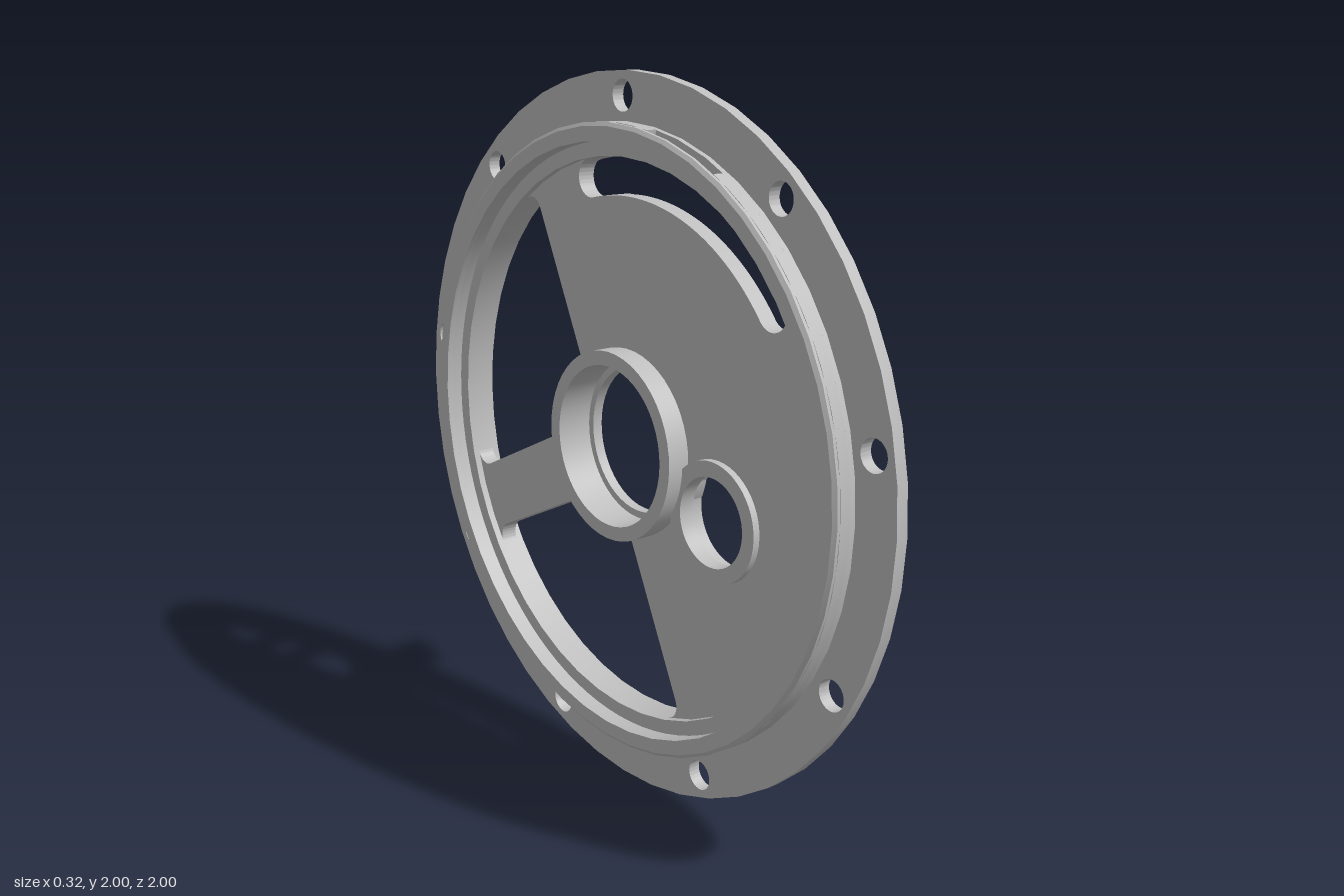
import * as THREE from 'three';
import { toCreasedNormals } from 'three/addons/utils/BufferGeometryUtils.js';

const PI = Math.PI, rad = THREE.MathUtils.degToRad;

export function createModel() {
  const metal = new THREE.MeshStandardMaterial({ color: 0xbfbfbf });
  metal.name = 'grey metal';

  // Drawn face-on in XY with depth along +Z, then turned so depth runs along +X
  const plate = new THREE.Group();
  plate.name = 'bearingPlate';

  function add(name, geometry, x = 0, y = 0) {
    const mesh = new THREE.Mesh(toCreasedNormals(geometry, 0.5), metal);
    mesh.name = name;
    mesh.position.set(x, y, 0);
    plate.add(mesh);
    return mesh;
  }
  function extrude(shape, back, front) {
    const g = new THREE.ExtrudeGeometry(shape, { depth: front - back, bevelEnabled: false, curveSegments: 24 });
    return g.translate(0, 0, back);
  }
  // Closed counterclockwise profile of [radius, depth]
  function turned(profile, segments = 48) {
    const pts = [...profile, profile[0]].map(([r, d]) => new THREE.Vector2(r, d));
    return new THREE.LatheGeometry(pts, segments).rotateX(PI / 2);
  }
  const disc = (r) => new THREE.Shape().absarc(0, 0, r, 0, 2 * PI, false);
  const hole = (x, y, r) => new THREE.Path().absarc(x, y, r, 0, 2 * PI, true);

  // Bolt flange with nine holes
  const flange = disc(1);
  flange.holes.push(hole(0, 0, 0.85));
  for (let i = 0; i < 9; i++) {
    const a = rad(88.8 + 40 * i);
    flange.holes.push(hole(0.935 * Math.cos(a), 0.935 * Math.sin(a), 0.042));
  }
  add('boltFlange', extrude(flange, -0.0885, -0.0535));

  // Rim: front spigot, slotted middle and chamfered back edge
  add('rimFront', turned([
    [0.78, -0.105], [0.87, -0.105], [0.87, -0.06], [0.815, -0.06], [0.815, -0.015], [0.78, -0.015],
  ]));
  add('rimBack', turned([
    [0.82, -0.155], [0.86, -0.155], [0.87, -0.147], [0.87, -0.138], [0.82, -0.138],
  ]));
  const slotStart = rad(99.3), slotEnd = rad(117.4);
  const wall = new THREE.Shape();
  wall.absarc(0, 0, 0.87, slotEnd, slotStart + 2 * PI, false);
  wall.absarc(0, 0, 0.82, slotStart + 2 * PI, slotEnd, true);
  add('slottedRimWall', new THREE.ExtrudeGeometry(wall, { depth: 0.033, bevelEnabled: false, curveSegments: 46 })
    .translate(0, 0, -0.138));

  // Web with two quarter windows and a curved slot
  const small = new THREE.Vector2(-0.38, -0.125);
  const web = disc(0.8);
  web.holes.push(hole(0, 0, 0.24), hole(small.x, small.y, 0.15));

  const half = 0.098, outer = 0.78, inner = 0.26, f = 0.045;
  const cx = half + f, cy = Math.sqrt((outer - f) ** 2 - cx ** 2);
  const corner = Math.atan2(cx, cy), start = Math.asin(half / inner);
  const quarter = new THREE.Path();
  quarter.absarc(0, 0, outer, corner, PI / 2 - corner, false);
  quarter.absarc(cx, cy, f, PI / 2 - corner, PI, false);
  quarter.absarc(0, 0, inner, PI / 2 - start, start, true);
  quarter.absarc(cy, cx, f, -PI / 2, corner, false);
  const origin = new THREE.Vector2();
  for (const turn of [-26, -116]) {
    const pts = quarter.getPoints(16).map((p) => p.clone().rotateAround(origin, rad(turn)));
    web.holes.push(new THREE.Path(pts));
  }

  const a0 = rad(77), a1 = rad(141), mid = 0.7275, cap = 0.0525;
  const slot = new THREE.Path();
  slot.absarc(0, 0, mid + cap, a0, a1, false);
  slot.absarc(mid * Math.cos(a1), mid * Math.sin(a1), cap, a1, a1 + PI, false);
  slot.absarc(0, 0, mid - cap, a1, a0, true);
  slot.absarc(mid * Math.cos(a0), mid * Math.sin(a0), cap, a0 + PI, a0 + 2 * PI, false);
  web.holes.push(slot);
  add('web', extrude(web, -0.085, -0.035));

  // Stepped bearing seats
  add('mainBearingSeat', turned([
    [0.225, -0.15], [0.265, -0.15], [0.265, -0.015], [0.205, -0.015], [0.205, -0.045], [0.225, -0.045],
  ]));
  add('smallBearingSeat', turned([
    [0.122, -0.105], [0.165, -0.105], [0.165, -0.015], [0.14, -0.015], [0.14, -0.06], [0.122, -0.06],
  ]), small.x, small.y);

  // Raised pad that blends the two seats with fillets
  const R1 = 0.265, R2 = 0.165, rf = 0.06, d = small.length();
  const d1 = R1 + rf, d2 = R2 + rf;
  const al = Math.acos((d1 * d1 + d * d - d2 * d2) / (2 * d1 * d));
  const be = Math.acos((d2 * d2 + d * d - d1 * d1) / (2 * d2 * d));
  const fx = d1 * Math.cos(al), fy = d1 * Math.sin(al);
  const pad = new THREE.Shape();
  pad.absarc(0, 0, R1, al, 2 * PI - al, false);
  pad.absarc(fx, -fy, rf, PI - al, be, true);
  pad.absarc(d, 0, R2, be - PI, PI - be, false);
  pad.absarc(fx, fy, rf, -be, al - PI, true);
  pad.holes.push(hole(0, 0, 0.23), hole(d, 0, 0.145));
  add('seatPad', extrude(pad, -0.04, -0.015)).rotation.z = Math.atan2(small.y, small.x);

  // Pairs of hollow standoffs on the four spokes
  const post = turned([
    [0, -0.04], [0.045, -0.04], [0.045, 0.15], [0.025, 0.15], [0.025, 0.08], [0, 0.08],
  ], 24);
  for (const deg of [64, 154, 244, 334]) {
    for (const r of [0.51, 0.661]) {
      add('standoff', post, r * Math.cos(rad(deg)), r * Math.sin(rad(deg)));
    }
  }

  // Stand the disc upright with its slight lean
  plate.rotation.y = PI / 2;
  const model = new THREE.Group();
  model.name = 'coverPlate';
  const lean = new THREE.Group();
  lean.name = 'leaningAssembly';
  lean.add(plate);
  lean.rotation.z = -0.0125;
  lean.position.y = 1;
  model.add(lean);
  return model;
}
